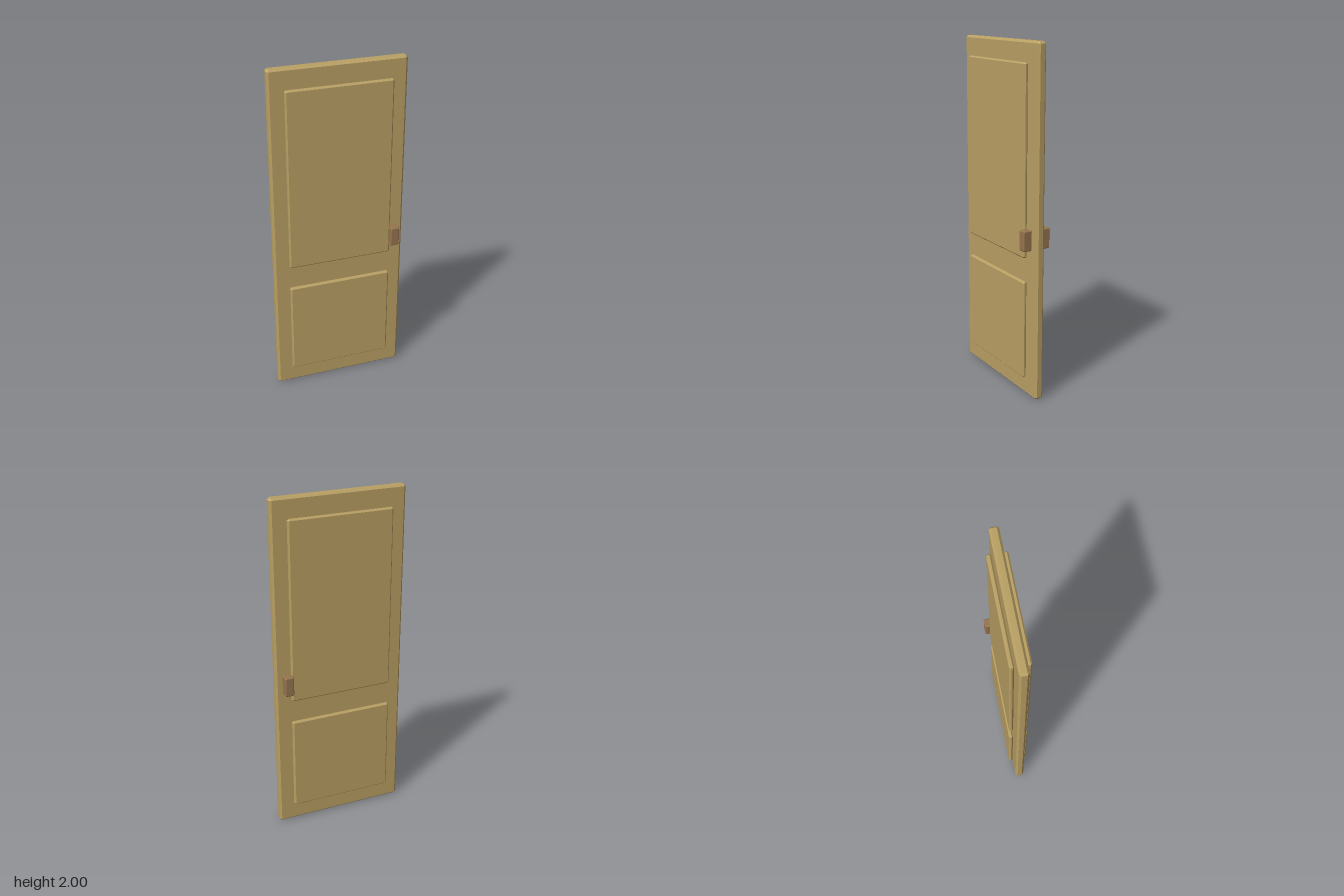
import * as THREE from 'three';
import { ConvexGeometry } from 'three/addons/geometries/ConvexGeometry.js';

// Box with every edge cut by a flat chamfer of width b
function chamferBox(w, h, d, b) {
  const half = [w / 2, h / 2, d / 2];
  const points = [];
  for (const sx of [-1, 1]) for (const sy of [-1, 1]) for (const sz of [-1, 1]) {
    const s = [sx, sy, sz];
    for (let axis = 0; axis < 3; axis++) {
      points.push(new THREE.Vector3(...half.map((v, i) => s[i] * (i === axis ? v : v - b))));
    }
  }
  return new ConvexGeometry(points);
}

export function createModel() {
  const door = new THREE.Group();
  door.name = 'door';

  const wood = new THREE.MeshStandardMaterial({ color: 0xb99f63 });
  wood.name = 'tan wood';
  const brown = new THREE.MeshStandardMaterial({ color: 0x97754e });
  brown.name = 'brown handle';

  // Places a chamfered box between two opposite corners
  function addBox(name, material, min, max, bevel) {
    const size = max.map((v, i) => v - min[i]);
    const mesh = new THREE.Mesh(chamferBox(...size, bevel), material);
    mesh.position.set(...max.map((v, i) => (v + min[i]) / 2));
    mesh.name = name;
    door.add(mesh);
  }

  // Main leaf
  addBox('slab', wood, [-0.392, 0, -0.027], [0.39, 2, 0.025], 0.012);

  // Panels and handle on each face
  for (const [side, near, far, grip] of [['front', 0.03, 0.055, 0.083], ['back', -0.032, -0.057, -0.085]]) {
    const lo = Math.min(near, far), hi = Math.max(near, far);
    addBox(side + 'UpperPanel', wood, [-0.306, 0.823, lo], [0.303, 1.888, hi], 0.008);
    addBox(side + 'LowerPanel', wood, [-0.306, 0.113, lo], [0.303, 0.687, hi], 0.008);
    addBox(side + 'Handle', brown,
      [0.299, 0.876, Math.min(near, grip)], [0.351, 0.992, Math.max(near, grip)], 0.005);
  }
  return door;
}
